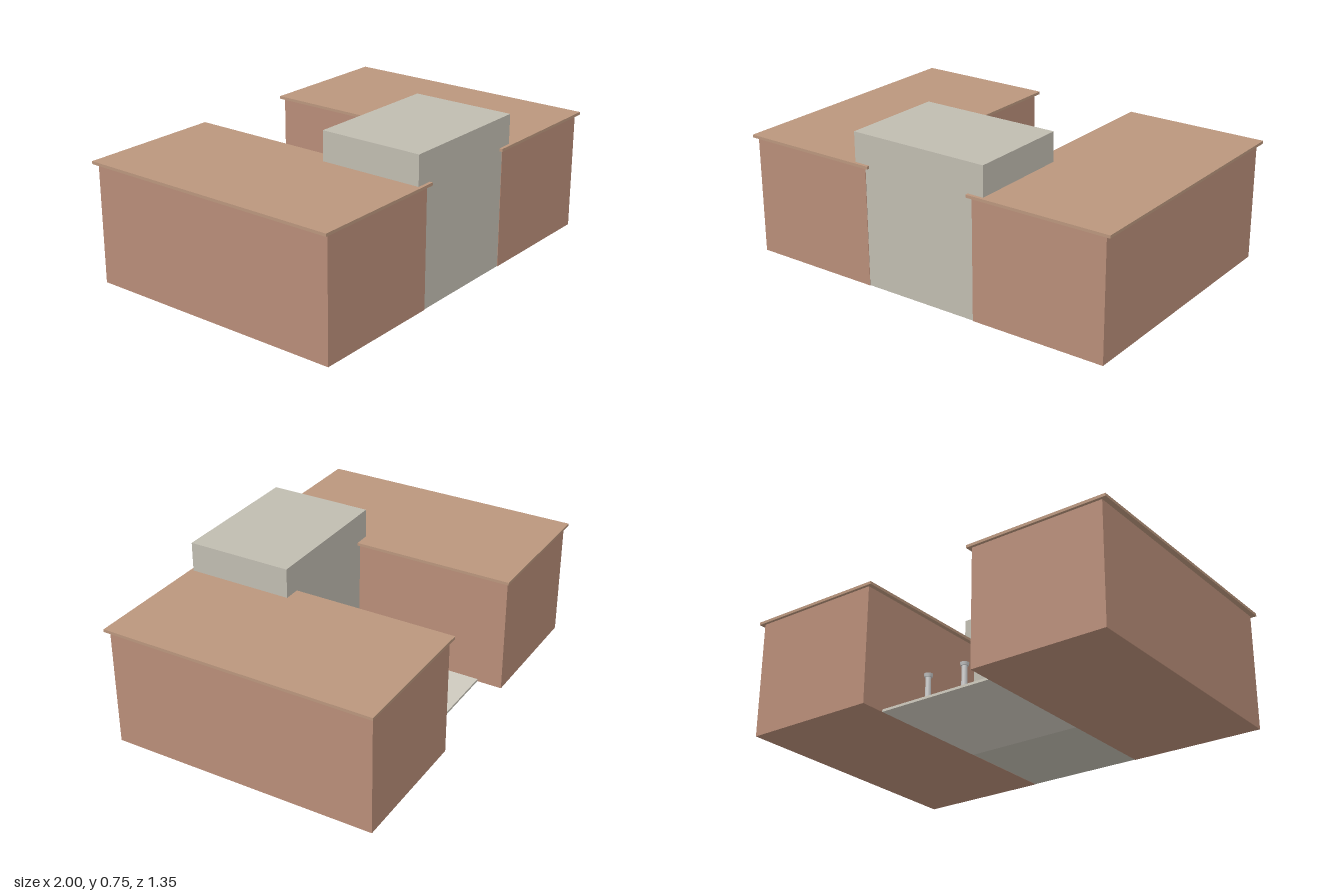
import * as THREE from 'three';

const material = (color) => new THREE.MeshStandardMaterial({ color });

// Box given by its minimum and maximum corners
function block(name, min, max, mat) {
  const size = max.map((v, i) => v - min[i]);
  const mesh = new THREE.Mesh(new THREE.BoxGeometry(...size), mat);
  mesh.position.set(...max.map((v, i) => (v + min[i]) / 2));
  mesh.name = name;
  return mesh;
}

// Small column with square plinth, tapered shaft and round capital
function column(x, z, floorY, mat) {
  const group = new THREE.Group();
  group.name = 'column';
  group.add(block('columnBase', [-0.02, 0, -0.02], [0.02, 0.012, 0.02], mat));
  const shaft = new THREE.Mesh(new THREE.CylinderGeometry(0.013, 0.016, 0.2, 24), mat);
  shaft.name = 'columnShaft';
  shaft.position.y = 0.112;
  const capital = new THREE.Mesh(new THREE.CylinderGeometry(0.022, 0.018, 0.016, 24), mat);
  capital.name = 'columnCapital';
  capital.position.y = 0.22;
  group.add(shaft, capital);
  group.position.set(x, floorY, z);
  return group;
}

export function createModel() {
  const model = new THREE.Group();
  model.name = 'courtyardBuilding';
  const brick = material(0xb88d78);
  const roofing = material(0xba967d);
  const stone = material(0xc0bcb0);
  const paving = material(0xcecabe);
  const marble = material(0xcccccc);

  // Two mirrored wings with overhanging flat roofs
  for (const [side, s] of [['left', 1], ['right', -1]]) {
    const span = (a, b) => (s > 0 ? [a, b] : [-b, -a]);
    const [w0, w1] = span(0.3, 0.975);
    const [r0, r1] = span(0.278, 1);
    model.add(
      block(side + 'Wing', [w0, 0, -0.662], [w1, 0.586, 0.662], brick),
      block(side + 'Roof', [r0, 0.586, -0.676], [r1, 0.6, 0.676], roofing),
    );
  }

  // Taller hall joining the wings at the front
  model.add(block('centralHall', [-0.36, 0.001, 0.135], [0.36, 0.746, 0.66], stone));

  // Paved court behind the hall with a row of columns
  model.add(block('courtFloor', [-0.3, 0, -0.535], [0.3, 0.012, 0.135], paving));
  for (const x of [-0.213, 0, 0.213]) model.add(column(x, -0.322, 0.012, marble));

  return model;
}
